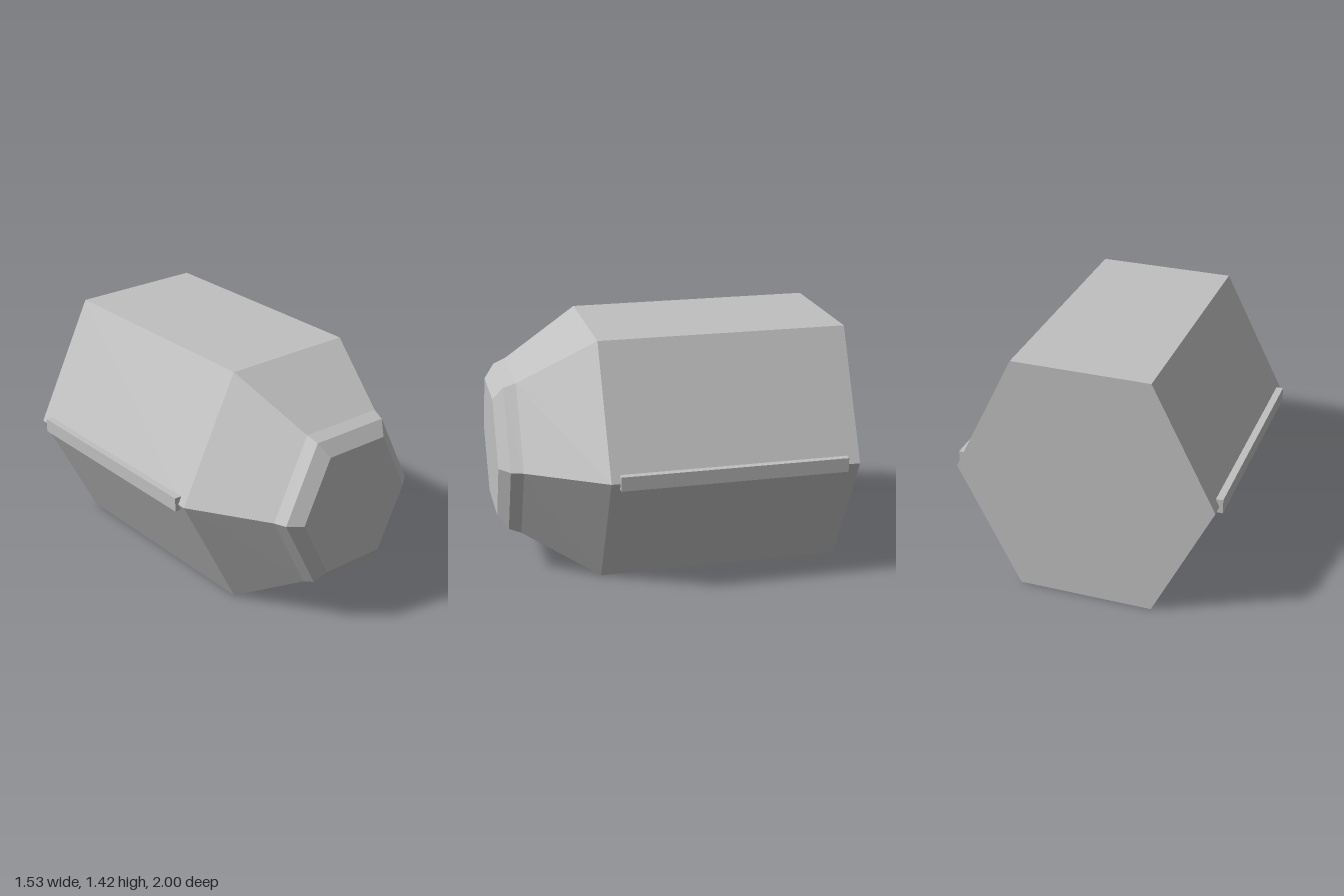
import * as THREE from 'three';

const CENTRE_Y = 0.71;

// Hull cross-sections, back to front: z, side half-width, corner half-width, half-height
const SECTIONS = [
  [-1, 0.745, 0.39, 0.71],
  [0.43, 0.745, 0.39, 0.71],
  [0.87, 0.475, 0.25, 0.455],
  [0.94, 0.45, 0.237, 0.43],
  [1, 0.372, 0.196, 0.355],
];

// Six corners, counter-clockwise seen from the front
function hexRing([z, side, corner, height]) {
  return [
    [side, 0], [corner, height], [-corner, height],
    [-side, 0], [-corner, -height], [corner, -height],
  ].map(([x, y]) => [x, y + CENTRE_Y, z]);
}

function hullGeometry() {
  const rings = SECTIONS.map(hexRing);
  const positions = [];
  const tri = (a, b, c) => positions.push(...a, ...b, ...c);
  // side panels
  for (let s = 0; s < rings.length - 1; s++) {
    for (let i = 0; i < 6; i++) {
      const j = (i + 1) % 6;
      const a = rings[s][i], b = rings[s][j];
      const c = rings[s + 1][j], d = rings[s + 1][i];
      tri(a, b, c);
      tri(a, c, d);
    }
  }
  // flat back and nose caps
  const back = rings[0], nose = rings[rings.length - 1];
  for (let i = 1; i < 5; i++) {
    tri(back[0], back[i + 1], back[i]);
    tri(nose[0], nose[i], nose[i + 1]);
  }
  const geometry = new THREE.BufferGeometry();
  geometry.setAttribute('position', new THREE.Float32BufferAttribute(positions, 3));
  geometry.computeVertexNormals();
  return geometry;
}

export function createModel() {
  const model = new THREE.Group();
  model.name = 'hexagonalPod';
  const grey = new THREE.MeshStandardMaterial({ color: 0xc0c0c0 });
  grey.name = 'lightGrey';

  const hull = new THREE.Mesh(hullGeometry(), grey);
  hull.name = 'hull';
  model.add(hull);

  // thin rails along the two side edges
  const railGeometry = new THREE.BoxGeometry(0.04, 0.082, 1.305);
  for (const [name, side] of [['leftRail', 1], ['rightRail', -1]]) {
    const rail = new THREE.Mesh(railGeometry, grey);
    rail.name = name;
    rail.position.set(side * 0.745, 0.714, -0.273);
    model.add(rail);
  }
  return model;
}
